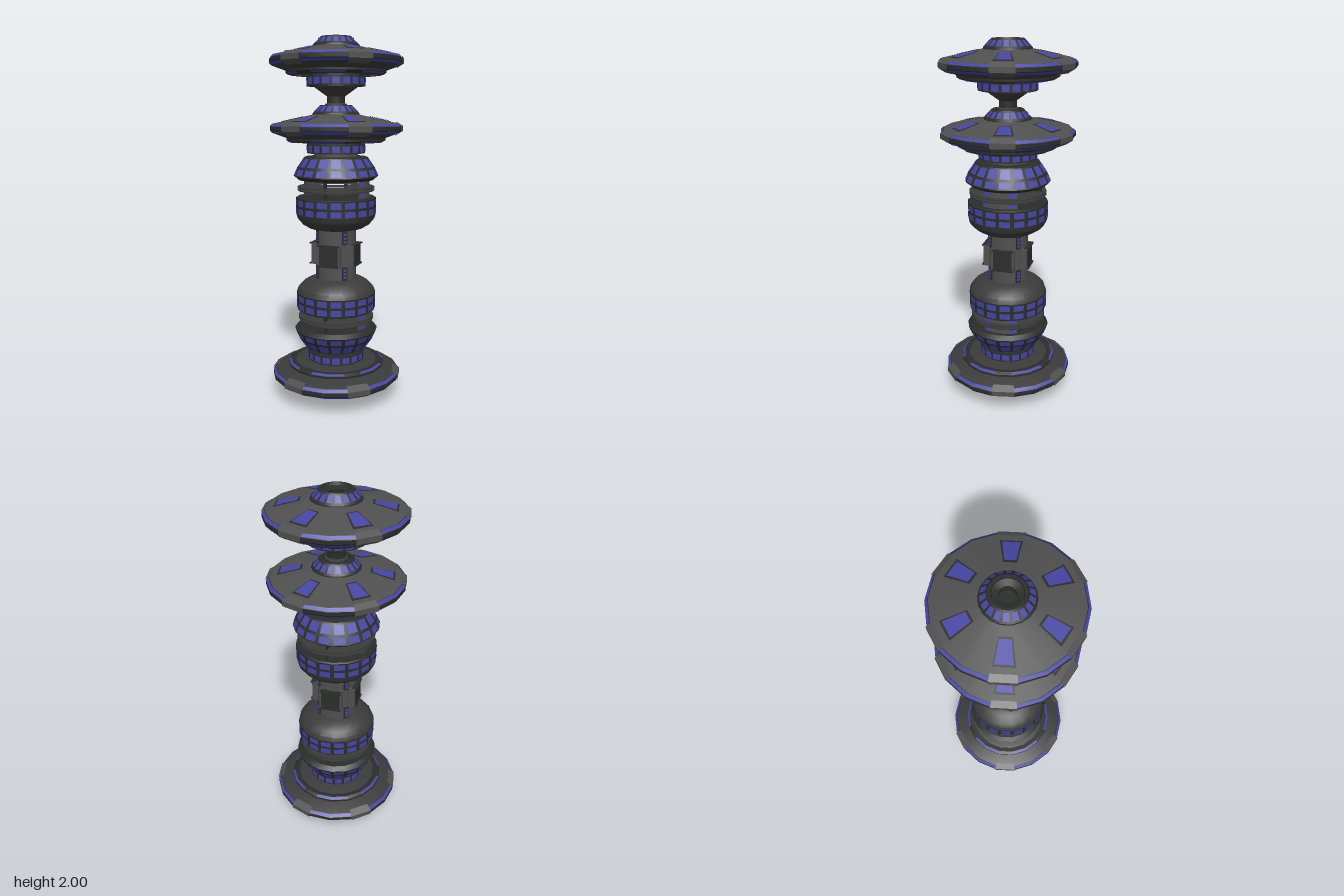
import * as THREE from 'three';
import { mergeGeometries, toCreasedNormals } from 'three/addons/utils/BufferGeometryUtils.js';

const SIDES = 18, STEP = 20, MID = 0.82, BORE = 0.04;
const rad = THREE.MathUtils.degToRad;

const mat = (name, color, side = THREE.FrontSide) => {
  const m = new THREE.MeshStandardMaterial({ color, side });
  m.name = name;
  return m;
};
const hull = mat('hull grey', 0x505050);
const shell = mat('shell grey', 0x3a3b3a);
const dark = mat('frame dark', 0x2b2d2b, THREE.DoubleSide);
const blue = mat('window blue', 0x4646a4);

function add(group, name, geo, material) {
  const mesh = new THREE.Mesh(geo, material);
  mesh.name = name;
  group.add(mesh);
  return mesh;
}

// Revolved piece of the 18-sided body; points run upwards along the outside
function turned(points, start = 0, sweep = 360) {
  const v = points.map(([r, y]) => new THREE.Vector2(r, y));
  const segs = Math.max(1, Math.round(sweep / STEP));
  const g = new THREE.LatheGeometry(v, segs, rad(start + 90), rad(sweep));
  return toCreasedNormals(g, 0.4);
}

// Thin plates lying on a facet between two profile points
function plates(p0, p1, width, angles, lift, margin = 0) {
  const k = width < STEP ? Math.cos(rad(STEP / 2)) / Math.cos(rad(width / 2)) : 1;
  const dr = p1[0] - p0[0], dy = p1[1] - p0[1], len = Math.hypot(dr, dy);
  const at = t => [
    (p0[0] + dr * t) * k + dy / len * lift,
    p0[1] + dy * t - dr / len * lift,
  ];
  const pts = [at(margin), at(1 - margin)];
  return mergeGeometries(angles.map(a => turned(pts, a - width / 2, width)));
}
const every = (step, first) => Array.from({ length: 360 / step }, (_, i) => first + i * step);
const ALL = every(STEP, STEP / 2);

// Saucer with its top at y = top
function saucer(top) {
  const g = new THREE.Group();
  g.name = 'saucer';
  const y = h => top + h;
  add(g, 'deck', turned([[0.345, y(-0.1)], [0.13, y(-0.052)]]), hull);
  add(g, 'underside', turned([[BORE, y(-0.2)], [0.14, y(-0.2)], [0.24, y(-0.19)], [0.345, y(-0.152)]]), shell);
  add(g, 'rim', turned([[0.345, y(-0.152)], [0.362, y(-0.136)], [0.362, y(-0.116)], [0.345, y(-0.1)]]), dark);
  add(g, 'rimLights', mergeGeometries([
    plates([0.345, y(-0.152)], [0.362, y(-0.136)], 40, every(60, 40), 0.002, 0.1),
    plates([0.362, y(-0.116)], [0.345, y(-0.1)], 40, every(60, 40), 0.002, 0.1),
  ]), blue);
  add(g, 'rimBlocks', mergeGeometries(every(60, 0).map(a => turned(
    [[0.33, y(-0.163)], [0.366, y(-0.14)], [0.366, y(-0.112)], [0.335, y(-0.092)]], a, STEP))), hull);

  // Six deck windows in dark frames
  const d0 = [0.305, y(-0.0911)], d1 = [0.178, y(-0.0627)];
  add(g, 'deckWindowFrames', plates(d0, d1, 19.5, every(60, 10), 0.002), dark);
  add(g, 'deckWindows', plates(d0, d1, 16, every(60, 10), 0.005, 0.08), blue);

  // Raised crown with a window ring and a sunken open centre
  add(g, 'crown', turned([[0.13, y(-0.052)], [0.128, y(-0.045)], [0.085, y(0)], [0.074, y(0)],
    [0.07, y(-0.012)], [BORE, y(-0.022)], [BORE, y(-0.06)]]), dark);
  add(g, 'crownWindows', plates([0.128, y(-0.045)], [0.085, y(0)], 14, ALL, 0.002, 0.18), blue);

  // Stepped ring below the rim
  add(g, 'lowerRing', turned([[0.23, y(-0.2)], [0.255, y(-0.2)], [0.272, y(-0.19)], [0.272, y(-0.175)]]), dark);
  add(g, 'lowerRingLights', plates([0.255, y(-0.2)], [0.272, y(-0.19)], 40, every(60, 40), 0.002, 0.1), blue);

  // Window band hanging under the saucer
  add(g, 'bandNeck', turned([[0.14, y(-0.215)], [0.14, y(-0.195)]]), shell);
  add(g, 'band', turned([[BORE, y(-0.26)], [0.16, y(-0.26)], [0.16, y(-0.21)], [0.13, y(-0.207)]]), dark);
  add(g, 'bandWindows', plates([0.16, y(-0.26)], [0.16, y(-0.21)], 15, ALL, 0.002, 0.14), blue);
  return g;
}

// Half of the main station, from the waist up to the second saucer
function halfStation() {
  const g = new THREE.Group();
  g.name = 'halfStation';
  g.add(saucer(1.64));
  add(g, 'neck', turned([[0.12, 1.35], [0.12, 1.385]]), hull);

  // Sloped collar with two rows of windows
  const c0 = [0.235, 1.255], c1 = [0.215, 1.3], c2 = [0.175, 1.358];
  add(g, 'collar', turned([[BORE, 1.235], [0.21, 1.235], c0, c1, c2, [0.165, 1.362], [0.11, 1.362]]), dark);
  add(g, 'collarWindows', mergeGeometries([
    plates(c0, c1, 15, ALL, 0.002, 0.14), plates(c1, c2, 15, ALL, 0.002, 0.12),
  ]), blue);

  // Open gallery: thin discs held by curved braces and fins
  for (const y of [1.178, 1.194]) {
    add(g, 'galleryDisc', turned([[0.1, y - 0.004], [0.213, y - 0.004], [0.213, y + 0.004], [0.1, y + 0.004]]), shell);
  }
  for (const a of [0, 180]) {
    const brace = turned([[0.188, 1.135], [0.188, 1.24]], a - 30, 60);
    const inner = turned([[0.178, 1.24], [0.178, 1.135]], a - 30, 60);
    add(g, 'galleryBrace', mergeGeometries([brace, inner]), hull);
    add(g, 'braceWindows', mergeGeometries([1.15, 1.205].map(y =>
      plates([0.188, y], [0.188, y + 0.025], 13, [a - 20 - 2, a + 20 + 2], 0.004))), blue);
    const fin = add(g, 'galleryFin', new THREE.BoxGeometry(0.008, 0.105, 0.04), dark);
    fin.position.set(0, 1.1875, a ? -0.17 : 0.17);
  }

  // Window drum with a rounded lower shell
  add(g, 'drum', turned([[0.222, 1.04], [0.222, 1.135], [0.215, 1.14], [BORE, 1.14]]), dark);
  add(g, 'drumWindows', mergeGeometries([1.045, 1.092].map(y =>
    plates([0.222, y], [0.222, y + 0.039], 15, ALL, 0.002, 0.08))), blue);
  add(g, 'drumShell', turned([[0.11, 0.957], [0.15, 0.966], [0.19, 0.99], [0.213, 1.015], [0.222, 1.04]]), shell);
  return g;
}

// Copy reflected about the waist, with corner order restored
function mirrored(group) {
  const copy = group.clone(true);
  copy.traverse(o => {
    if (!o.isMesh) return;
    const g = o.geometry.index ? o.geometry.toNonIndexed() : o.geometry.clone();
    g.scale(1, -1, 1);
    for (const attr of Object.values(g.attributes)) {
      const n = attr.itemSize, arr = attr.array;
      for (let i = 0; i < arr.length; i += 3 * n) {
        for (let k = 0; k < n; k++) {
          const t = arr[i + n + k];
          arr[i + n + k] = arr[i + 2 * n + k];
          arr[i + 2 * n + k] = t;
        }
      }
    }
    o.geometry = g;
    o.position.y *= -1;
  });
  copy.position.y = 2 * MID;
  return copy;
}

// Central column with four hatch panels and four columns of small lights
function waist() {
  const g = new THREE.Group();
  g.name = 'waist';
  add(g, 'column', turned([[0.113, 0.67], [0.113, 0.97]]), hull);
  for (let i = 0; i < 4; i++) {
    const side = new THREE.Group();
    side.name = 'hatch';
    side.rotation.y = i * Math.PI / 2;
    add(side, 'hatchBody', new THREE.BoxGeometry(0.13, 0.12, 0.04), hull).position.set(0, MID, 0.104);
    add(side, 'hatchPanel', new THREE.BoxGeometry(0.105, 0.105, 0.008), dark).position.set(0, MID, 0.125);
    for (const s of [-1, 1]) {
      add(side, 'hatchLip', new THREE.BoxGeometry(0.12, 0.007, 0.03), dark).position.set(0, MID + s * 0.057, 0.121);
    }
    g.add(side);

    const lights = new THREE.Group();
    lights.name = 'columnLights';
    lights.rotation.y = i * Math.PI / 2 + Math.PI / 4;
    for (const s of [-1, 1]) {
      add(lights, 'lightFrame', new THREE.BoxGeometry(0.03, 0.075, 0.008), dark).position.set(0, MID + s * 0.1, 0.113);
      for (const h of [0.08, 0.1, 0.12]) {
        add(lights, 'light', new THREE.BoxGeometry(0.018, 0.013, 0.006), blue).position.set(0, MID + s * h, 0.116);
      }
    }
    g.add(lights);
  }
  return g;
}

export function createModel() {
  const model = new THREE.Group();
  model.name = 'spaceStation';
  const upper = halfStation();
  model.add(upper, mirrored(upper), waist());

  // Extra saucer on a funnel above the main station
  const topSaucer = saucer(2);
  topSaucer.name = 'topSaucer';
  model.add(topSaucer);
  add(model, 'funnel', turned([[0.048, 1.685], [0.118, 1.735], [0.118, 1.742]]), shell);
  add(model, 'mast', turned([[0.048, 1.615], [0.048, 1.69]]), dark);
  add(model, 'mastCollar', turned([[0.05, 1.635], [0.06, 1.635], [0.06, 1.645], [0.048, 1.65]]), shell);
  return model;
}
